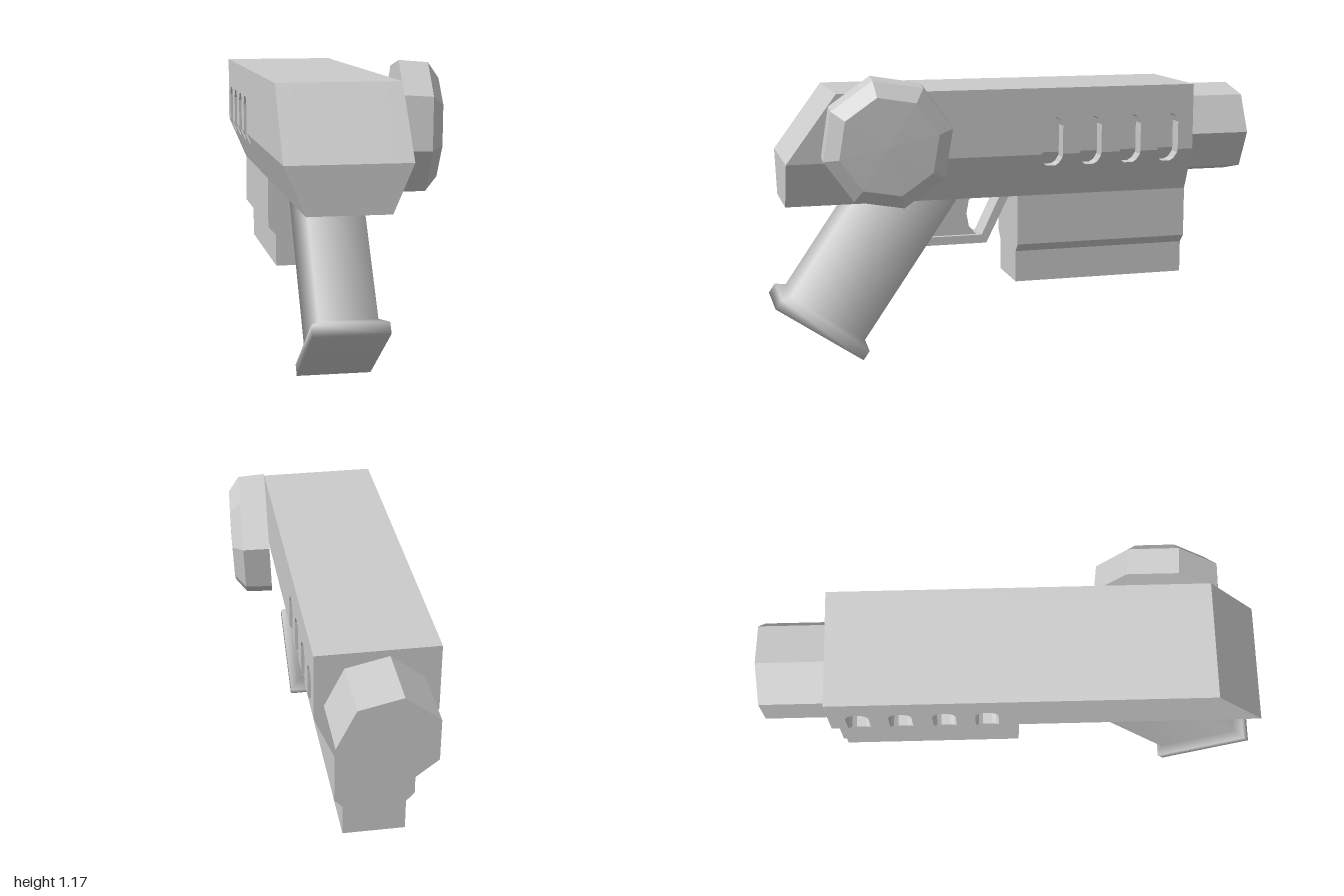
import * as THREE from 'three';

const material = new THREE.MeshStandardMaterial({ color: 0xcccccc, flatShading: true });
const smooth = new THREE.MeshStandardMaterial({ color: 0xcccccc });

const SPLIT = 0.84;      // height where the sides begin to taper
const FLOOR = 0.66;      // underside of the body
const HALF = 0.2325;     // half width of the body
const TAPER = 0.0775;    // inset of each side at the underside
const SLOT_DEPTH = 0.06;
const SLOTS = [-0.125, -0.29, -0.46, -0.625];

function add(parent, name, geometry, mat = material) {
  const mesh = new THREE.Mesh(geometry, mat);
  mesh.name = name;
  parent.add(mesh);
  return mesh;
}

const toShape = (points) => new THREE.Shape(points.map(([a, b]) => new THREE.Vector2(a, b)));

// Side profile given as (z, y), extruded across x and centred on the given x
function sideExtrude(points, width, x = 0) {
  const geometry = new THREE.ExtrudeGeometry(toShape(points), { depth: width, bevelEnabled: false });
  return geometry.translate(0, 0, -width / 2).rotateY(-Math.PI / 2).translate(x, 0, 0);
}

// Pull both sides inward below the split line
function taperSides(geometry) {
  const p = geometry.attributes.position;
  for (let i = 0; i < p.count; i++) {
    const t = Math.max(0, (SPLIT - p.getY(i)) / (SPLIT - FLOOR));
    p.setX(i, p.getX(i) - Math.sign(p.getX(i)) * TAPER * t);
  }
  geometry.computeVertexNormals();
  return geometry;
}

// Half of each rounded slot, cut upward (dir 1) or downward (dir -1) from the split line
function notches(straight, end) {
  const half = [[0.045, SPLIT], [0.045, straight], [0.034, (straight + end * 2) / 3], [0.018, end]];
  const outline = [...half, ...half.slice().reverse().map(([z, y]) => [-z, y])];
  return SLOTS.flatMap((c) => outline.map(([z, y]) => [c + z, y]));
}

function buildBody(parent) {
  const body = new THREE.Group();
  body.name = 'body';
  parent.add(body);
  const upper = [[-0.735, SPLIT], [-0.735, 1.11], [0.75, 1.11], [0.95, SPLIT]];
  const lower = [[-0.735, SPLIT], [-0.735, FLOOR], [0.95, FLOOR], [0.95, SPLIT]];
  const layers = [
    ['upper', upper, notches(0.955, 0.99)],
    ['lower', lower, notches(0.825, 0.79)],
  ];
  for (const [label, outline, cut] of layers) {
    add(body, label + 'Core', taperSides(sideExtrude(outline, 2 * (HALF - SLOT_DEPTH))));
    for (const side of [1, -1]) {
      const x = side * (HALF - SLOT_DEPTH / 2);
      add(body, label + 'SlottedSide', taperSides(sideExtrude([...outline, ...cut], SLOT_DEPTH, x)));
    }
  }
}

// Smooth-shaded rectangular grip with a flared foot
function buildGrip(parent) {
  const profile = [[0, 0], [0.212, 0], [0.212, 0.045], [0.179, 0.07], [0.179, 0.8]]
    .map(([r, y]) => new THREE.Vector2(r * Math.SQRT2, y));
  const geometry = new THREE.LatheGeometry(profile, 4, Math.PI / 4);
  const p = geometry.attributes.position;
  for (let i = 0; i < p.count; i++) {
    p.setX(i, p.getX(i) - Math.sign(p.getX(i)) * 0.071);
  }
  const grip = add(parent, 'grip', geometry, smooth);
  grip.position.set(0, 0.125, 0.825);
  grip.rotation.x = -0.602;
}

export function createModel() {
  const root = new THREE.Group();
  root.name = 'toyBlaster';
  const main = new THREE.Group();
  main.name = 'mainAssembly';
  main.position.x = -0.0925;
  root.add(main);

  buildBody(main);
  buildGrip(main);

  // Seven-sided muzzle
  const muzzle = new THREE.CylinderGeometry(0.195, 0.195, 0.3, 7, 1, false, Math.PI / 2);
  add(main, 'muzzle', muzzle.rotateX(Math.PI / 2)).position.set(0, 0.895, -0.85);

  // Stepped block under the barrel
  const right = [[0.155, FLOOR], [0.155, 0.455], [0.1225, 0.42], [0.1225, 0.29]];
  const section = [...right, ...right.slice().reverse().map(([x, y]) => [-x, y])];
  const block = new THREE.ExtrudeGeometry(toShape(section), { depth: 0.735, bevelEnabled: false });
  add(main, 'underBarrelBlock', block.translate(0, 0, -0.735));

  // Trigger guard and the curved trigger behind it
  add(main, 'triggerGuard', sideExtrude([
    [0.45, 0.45], [0.11, 0.45], [0, 0.67], [0.04, 0.67], [0.13, 0.485], [0.45, 0.485],
  ], 0.12));
  add(main, 'trigger', sideExtrude([
    [0.45, 0.67], [0.155, 0.67], [0.18, 0.63], [0.19, 0.575], [0.18, 0.52], [0.145, 0.48], [0.45, 0.48],
  ], 0.08));

  // Eight-sided bevelled dial, tilted slightly on the left side
  const dialProfile = [[0, 0], [0.262, 0], [0.257, 0.11], [0.197, 0.155], [0, 0.16]]
    .map(([r, y]) => new THREE.Vector2(r, y));
  const dial = add(root, 'sideDial', new THREE.LatheGeometry(dialProfile, 8, 0.15));
  const axis = new THREE.Vector3(1, -0.04, 0.08).normalize();
  dial.quaternion.setFromUnitVectors(new THREE.Vector3(0, 1, 0), axis);
  dial.position.set(0.15, 0.924, 0.56);

  return root;
}
